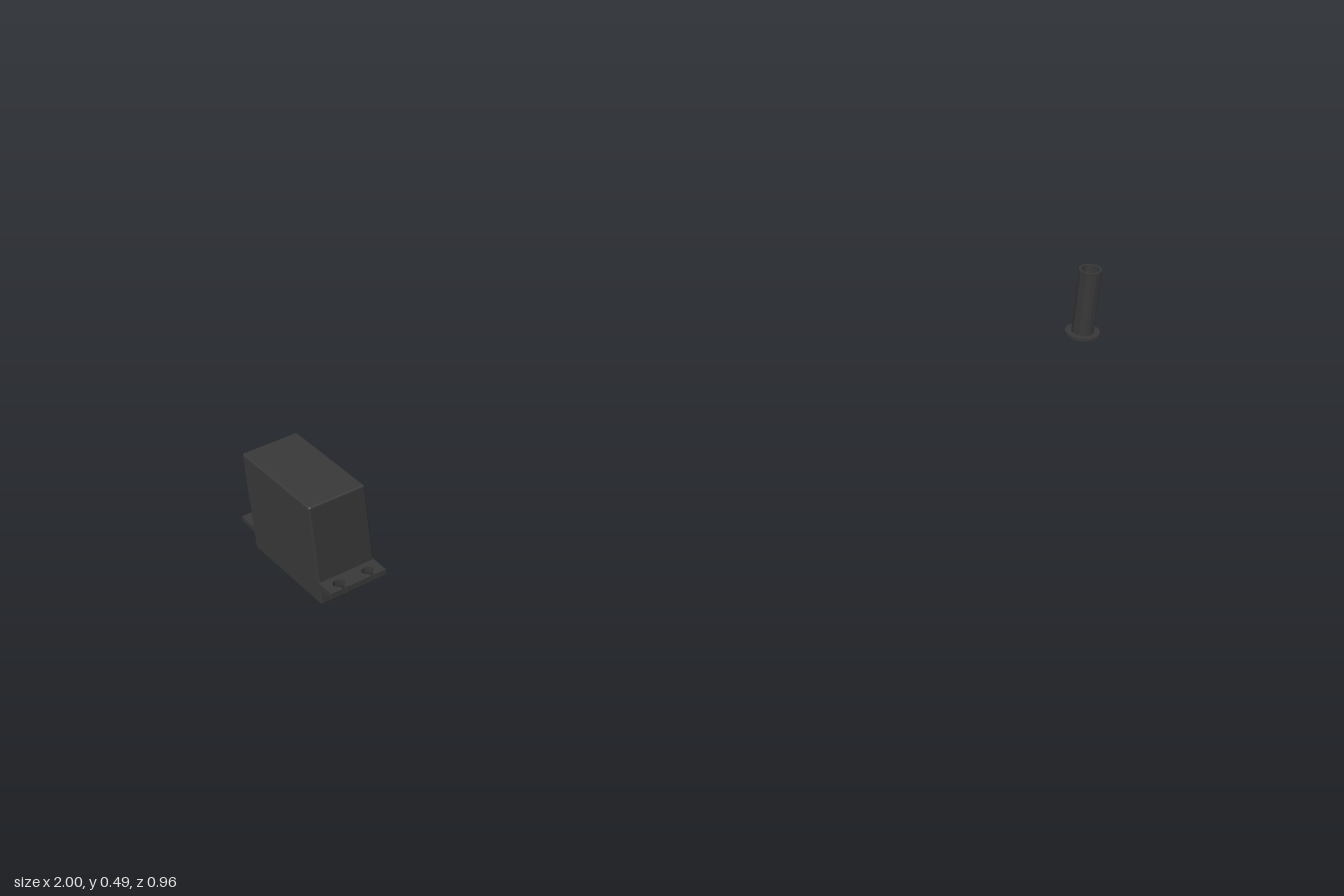
import * as THREE from 'three';
import { toCreasedNormals } from 'three/addons/utils/BufferGeometryUtils.js';
import { RoundedBoxGeometry } from 'three/addons/geometries/RoundedBoxGeometry.js';

const blackPlastic = new THREE.MeshStandardMaterial({ color: 0x383838 });
blackPlastic.name = 'black plastic';

function addPart(parent, name, geometry, x = 0, y = 0, z = 0) {
  const mesh = new THREE.Mesh(geometry, blackPlastic);
  mesh.name = name;
  mesh.position.set(x, y, z);
  parent.add(mesh);
  return mesh;
}

// Mounting ear with two open keyhole slots, lying flat and pointing to +z
function earGeometry(halfWidth, length, thickness) {
  const r = 0.014, slot = 0.005, holeZ = 0.029;
  const open = Math.asin(slot / r);
  const shape = new THREE.Shape();
  shape.moveTo(-halfWidth, -0.005);
  shape.lineTo(halfWidth, -0.005);
  shape.lineTo(halfWidth, length);
  for (const cx of [0.037, -0.037]) {
    shape.lineTo(cx + slot, length);
    shape.absarc(cx, holeZ, r, Math.PI / 2 - open, Math.PI / 2 + open, true);
    shape.lineTo(cx - slot, length);
  }
  shape.lineTo(-halfWidth, length);
  shape.closePath();
  const geometry = new THREE.ExtrudeGeometry(shape, { depth: thickness, bevelEnabled: false, curveSegments: 24 });
  return toCreasedNormals(geometry.rotateX(Math.PI / 2), 0.6);
}

function createServo() {
  const servo = new THREE.Group();
  servo.name = 'servo';
  servo.position.set(-0.9285, 0, -0.279);

  // Case
  addPart(servo, 'case', new RoundedBoxGeometry(0.143, 0.264, 0.298, 3, 0.005), 0, 0.204, 0);

  // Ears at both ends
  const ear = earGeometry(0.0715, 0.053, 0.014);
  for (const side of [1, -1]) {
    const mesh = addPart(servo, side > 0 ? 'frontEar' : 'backEar', ear, 0, 0.134, side * 0.149);
    mesh.rotation.y = side > 0 ? 0 : Math.PI;
  }

  // Output shaft
  addPart(servo, 'outputShaft', new THREE.CylinderGeometry(0.022, 0.022, 0.076, 32), 0, 0.038, -0.073);
  return servo;
}

// Flanged tube with a through bore
function createBushing() {
  const bushing = new THREE.Group();
  bushing.name = 'bushing';
  bushing.position.set(0.955, 0.308, 0.437);
  const profile = [
    [0.023, 0], [0.045, 0], [0.045, 0.007], [0.029, 0.007],
    [0.029, 0.186], [0.023, 0.186], [0.023, 0],
  ].map(([r, y]) => new THREE.Vector2(r, y));
  addPart(bushing, 'flangedTube', toCreasedNormals(new THREE.LatheGeometry(profile, 48), 0.6));
  return bushing;
}

export function createModel() {
  const model = new THREE.Group();
  model.name = 'servoAndBushing';
  model.add(createServo(), createBushing());
  return model;
}
